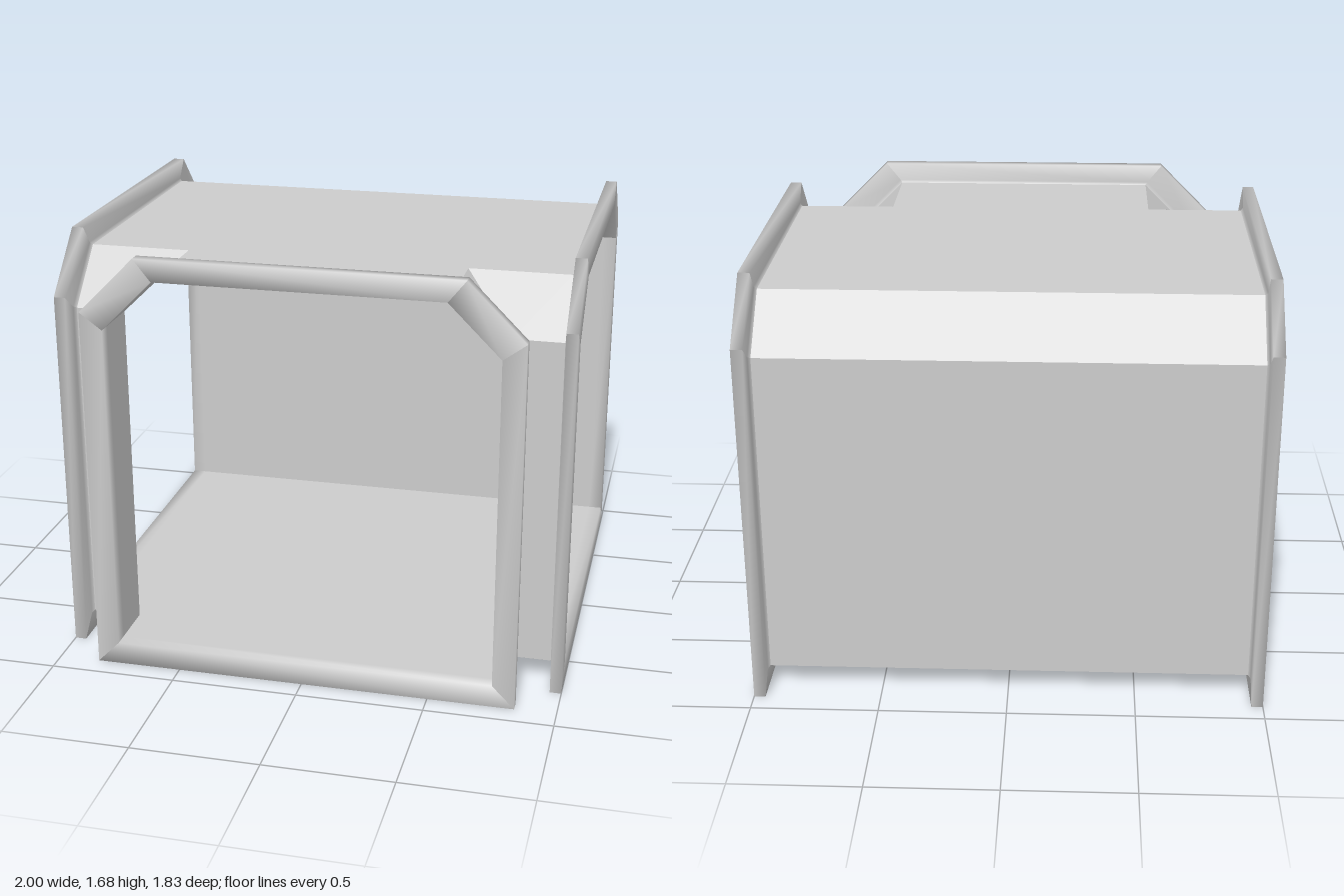
import * as THREE from 'three';

const grey = new THREE.MeshStandardMaterial({ color: 0xcccccc, side: THREE.DoubleSide });
grey.name = 'light grey';

// Tunnel opening and flange outline, as matching corners (anticlockwise)
const INNER = [[-0.75, 0.09], [0.75, 0.09], [0.75, 1.4], [0.55, 1.6], [-0.55, 1.6], [-0.75, 1.4]];
const OUTER = [[-0.838, 0], [0.838, 0], [0.838, 1.465], [0.618, 1.685], [-0.618, 1.685], [-0.838, 1.465]];

// Flange section: [blend from opening to outline, depth]
const SECTION = [[0, -0.01], [0, 0.045], [1, 0.045], [1, 0], [0.12, 0], [0, -0.01]];

const CENTRE = new THREE.Vector3(0, 0.8, -0.08);

function mesh(name, positions, index) {
  const geometry = new THREE.BufferGeometry();
  geometry.setAttribute('position', new THREE.Float32BufferAttribute(positions, 3));
  geometry.setIndex(index);
  geometry.computeVertexNormals();
  const m = new THREE.Mesh(geometry, grey);
  m.name = name;
  return m;
}

// Flat four-cornered panel, turned to face out of the corridor
function panel(name, ...corners) {
  let p = corners.map((c) => new THREE.Vector3(...c));
  const normal = p[1].clone().sub(p[0]).cross(p[2].clone().sub(p[0]));
  const middle = p[0].clone().add(p[2]).multiplyScalar(0.5);
  if (normal.dot(middle.sub(CENTRE)) < 0) p = p.reverse();
  return mesh(name, p.flatMap((v) => v.toArray()), [0, 1, 2, 0, 2, 3]);
}

// Mitred bars around the opening, each smooth across its section
function flange(name) {
  const positions = [];
  const index = [];
  INNER.forEach((_, i) => {
    const start = positions.length / 3;
    SECTION.forEach(([blend, depth], j) => {
      for (const k of [i, (i + 1) % INNER.length]) {
        const [a, b] = [INNER[k], OUTER[k]];
        positions.push(a[0] + (b[0] - a[0]) * blend, a[1] + (b[1] - a[1]) * blend, depth);
      }
      if (j > 0) {
        const n = start + j * 2;
        index.push(n - 2, n, n + 1, n - 2, n + 1, n - 1);
      }
    });
  });
  return mesh(name, positions, index);
}

export function createModel() {
  const model = new THREE.Group();
  model.name = 'corridorJunction';

  const X = 0.945; // ends of the main tunnel
  const Z = 0.86; // end of the branch

  // Main tunnel and branch
  const shell = new THREE.Group();
  shell.name = 'shell';
  shell.add(
    panel('mainRoof', [-X, 1.6, -0.63], [X, 1.6, -0.63], [X, 1.6, 0.47], [-X, 1.6, 0.47]),
    panel('branchRoof', [-0.55, 1.6, 0.47], [0.55, 1.6, 0.47], [0.55, 1.6, Z], [-0.55, 1.6, Z]),
    panel('mainFloor', [-X, 0.09, -0.83], [X, 0.09, -0.83], [X, 0.09, 0.67], [-X, 0.09, 0.67]),
    panel('branchFloor', [-0.75, 0.09, 0.67], [0.75, 0.09, 0.67], [0.75, 0.09, Z], [-0.75, 0.09, Z]),
    panel('backWall', [-X, 0.09, -0.83], [X, 0.09, -0.83], [X, 1.4, -0.83], [-X, 1.4, -0.83]),
    panel('backSlope', [-X, 1.4, -0.83], [X, 1.4, -0.83], [X, 1.6, -0.63], [-X, 1.6, -0.63]),
  );

  for (const [s, side] of [[1, 'left'], [-1, 'right']]) {
    // Front walls and slopes meeting the branch in a valley
    shell.add(
      panel(side + 'FrontWall', [s * 0.75, 0.09, 0.67], [s * X, 0.09, 0.67], [s * X, 1.4, 0.67], [s * 0.75, 1.4, 0.67]),
      panel(side + 'FrontSlope', [s * 0.55, 1.6, 0.47], [s * X, 1.6, 0.47], [s * X, 1.4, 0.67], [s * 0.75, 1.4, 0.67]),
      panel(side + 'BranchWall', [s * 0.75, 0.09, 0.67], [s * 0.75, 0.09, Z], [s * 0.75, 1.4, Z], [s * 0.75, 1.4, 0.67]),
      panel(side + 'BranchSlope', [s * 0.55, 1.6, 0.47], [s * 0.75, 1.4, 0.67], [s * 0.75, 1.4, Z], [s * 0.55, 1.6, Z]),
    );

    // Flanges at the tunnel ends
    const end = flange(side + 'Flange');
    end.position.set(s * 0.955, 0, -0.08);
    end.rotation.y = (s * Math.PI) / 2;
    model.add(end);
  }

  // Flange of the branch
  const front = flange('frontFlange');
  front.position.z = 0.87;
  model.add(shell, front);
  return model;
}
